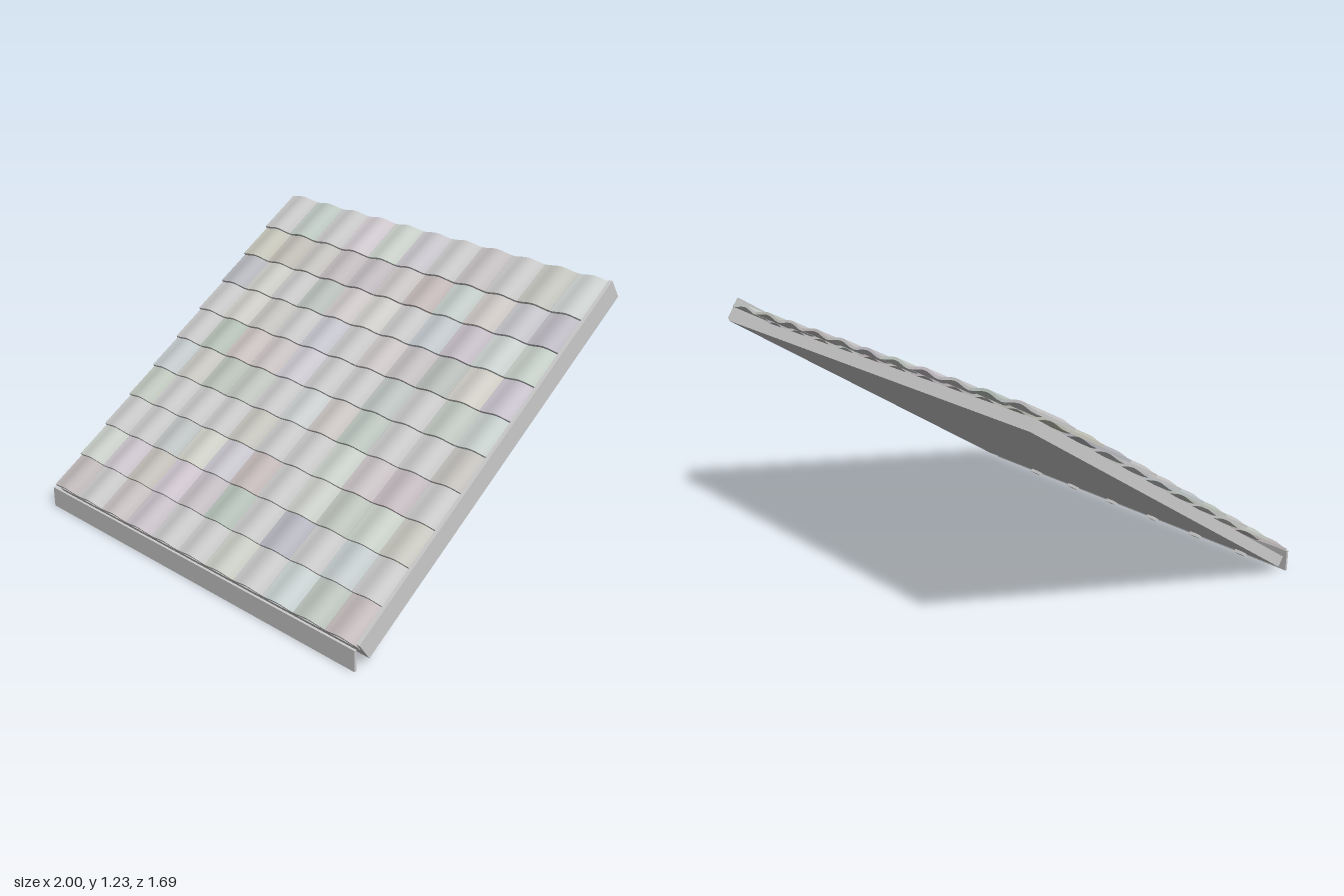
import * as THREE from 'three';

const SLOPE = 0.594;            // roof pitch in radians
const LENGTH = 1.955;           // eave to ridge along the slope
const ROWS = 10, COLS = 11;
const TILE_W = 0.18, TILE_L = 0.24, TILE_T = 0.012, STEP = 0.193;

// small seeded generator for tile tint and settling
function seeded(seed) {
  return () => {
    seed = (seed * 16807) % 2147483647;
    return seed / 2147483647;
  };
}

function box(name, x0, x1, y0, y1, z0, z1, material) {
  const mesh = new THREE.Mesh(new THREE.BoxGeometry(x1 - x0, y1 - y0, z1 - z0), material);
  mesh.position.set((x0 + x1) / 2, (y0 + y1) / 2, (z0 + z1) / 2);
  mesh.name = name;
  return mesh;
}

// arched tile: a slab bent across its width, origin at the top of its lower edge
function tileGeometry() {
  const geo = new THREE.BoxGeometry(TILE_W - 0.001, TILE_T, TILE_L, 8, 1, 1);
  geo.translate(0, -TILE_T / 2, -TILE_L / 2);
  const p = geo.attributes.position;
  for (let i = 0; i < p.count; i++) {
    p.setY(i, p.getY(i) + 0.008 * Math.cos((p.getX(i) / TILE_W) * Math.PI * 2));
  }
  geo.computeVertexNormals();
  return geo;
}

export function createModel() {
  const model = new THREE.Group();
  model.name = 'roofSlope';
  const grey = new THREE.MeshStandardMaterial({ color: 0xcccccc });

  // pitched frame: local y leaves the roof surface, local -z climbs the slope
  const pitch = new THREE.Group();
  pitch.name = 'pitchedRoof';
  pitch.rotation.x = SLOPE;
  pitch.position.set(0, 0.045, 0.78);
  model.add(pitch);

  // deck under the tiles and the board along the verge
  pitch.add(box('deck', -1, 0.978, -0.007, 0.045, -LENGTH, 0, grey));
  pitch.add(box('vergeBoard', 0.978, 0.996, 0, 0.107, -LENGTH, 0.002, grey));

  // gutter bracket feet below the eave
  for (let i = 0; i < 6; i++) {
    const x = 0.57 - i * 0.275;
    pitch.add(box('eaveBracket', x - 0.02, x + 0.02, -0.022, 0, -0.06, -0.012, grey));
  }

  // overlapping courses of tiles
  const tiles = new THREE.Group();
  tiles.name = 'tiles';
  pitch.add(tiles);
  const geo = tileGeometry();
  const rand = seeded(421);
  for (let r = 0; r < ROWS; r++) {
    for (let c = 0; c < COLS; c++) {
      const color = new THREE.Color().setHSL(rand(), 0.02 + 0.08 * rand(), 0.74 + 0.08 * rand(), THREE.SRGBColorSpace);
      const tile = new THREE.Mesh(geo, new THREE.MeshStandardMaterial({ color }));
      tile.name = 'tile';
      tile.position.set(-1 + (c + 0.5) * TILE_W, 0.095 + 0.002 * (rand() - 0.5), 0.006 - r * STEP);
      tile.rotation.x = -0.065;
      tiles.add(tile);
    }
  }

  // upright fascia board in front of the eave
  model.add(box('fascia', -1, 0.975, 0, 0.1, 0.834, 0.846, grey));
  return model;
}
